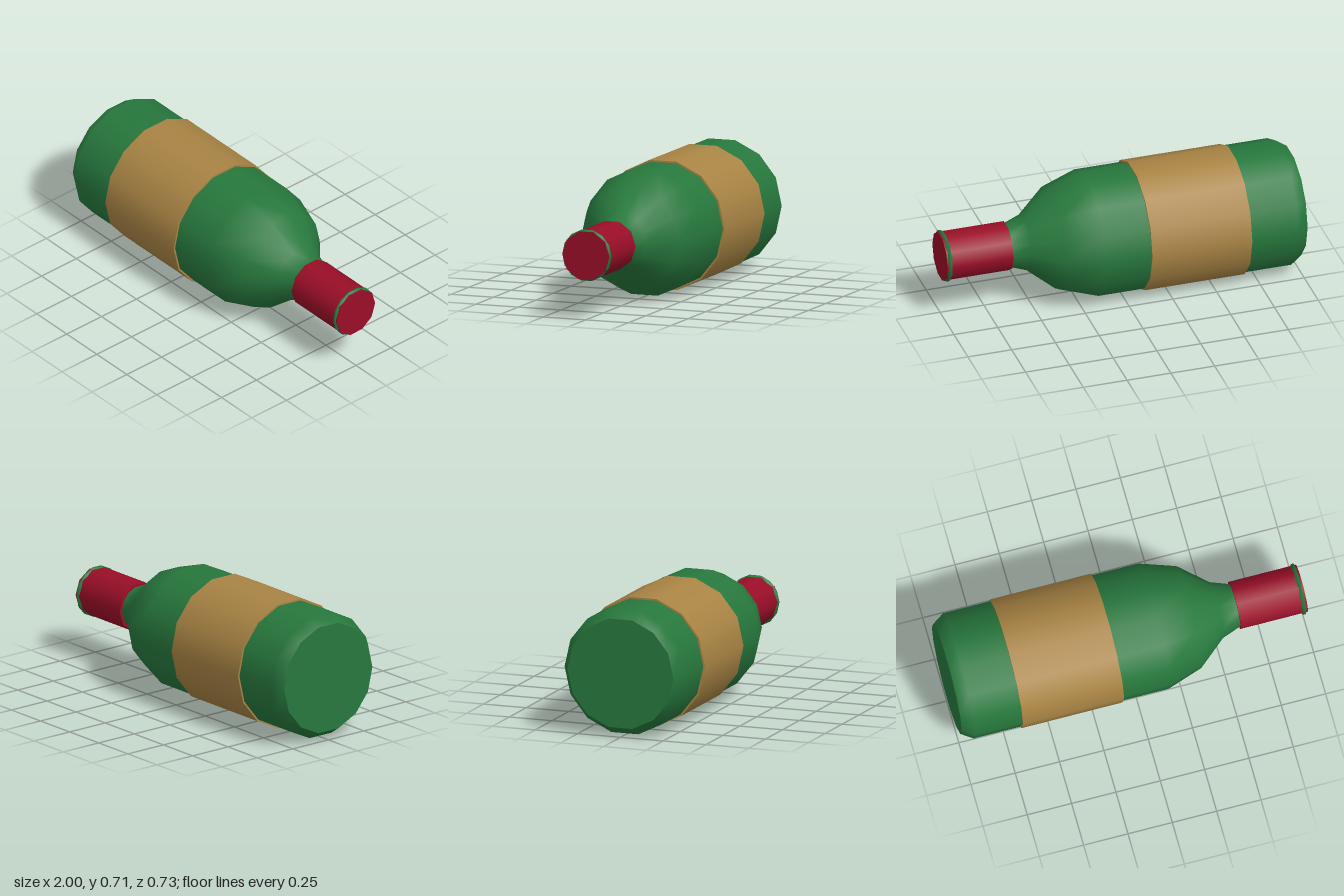
import * as THREE from 'three';

const RADIUS = 0.363; // label radius, the widest part
const SIDES = 14;
const AXIS_Y = RADIUS * Math.cos(Math.PI / SIDES); // rests on a flat facet

function material(name, color) {
  const m = new THREE.MeshStandardMaterial({ color });
  m.name = name;
  return m;
}

export function createModel() {
  const glass = material('green glass', 0x27783d);
  const paper = material('tan paper', 0xa98444);
  const foil = material('red foil', 0x9a0e28);

  const bottle = new THREE.Group();
  bottle.name = 'bottle';

  // Everything is turned around +y, then laid down along +x
  const add = (name, geometry, mat) => {
    geometry.rotateZ(-Math.PI / 2).translate(0, AXIS_Y, 0);
    const mesh = new THREE.Mesh(geometry, mat);
    mesh.name = name;
    bottle.add(mesh);
  };
  const lathe = (points) =>
    new THREE.LatheGeometry(points.map(([x, r]) => new THREE.Vector2(r, x)), SIDES);
  const cylinder = (r, from, to, sides) =>
    new THREE.CylinderGeometry(r, r, to - from, sides).translate(0, (from + to) / 2, 0);

  // Body, shoulder and neck
  add('body', lathe([
    [-1, 0.31], [-0.935, 0.353], [0.165, 0.353], [0.365, 0.287],
    [0.52, 0.157], [0.62, 0.121], [0.96, 0.121],
  ]), glass);

  // Flat base, facing -x once laid down
  const base = new THREE.CircleGeometry(0.31, SIDES);
  base.rotateZ(Math.PI / 2).rotateX(Math.PI / 2).translate(0, -1, 0);
  add('base', base, glass);

  // Ring around the mouth
  add('lip', lathe([
    [0.96, 0.121], [0.975, 0.143], [0.988, 0.143], [0.997, 0.125],
  ]), glass);

  // Paper band around the body
  add('label', cylinder(RADIUS, -0.668, -0.098, SIDES), paper);

  // Foil over the neck and mouth
  add('foilCap', cylinder(0.138, 0.623, 1, 10), foil);

  return bottle;
}
